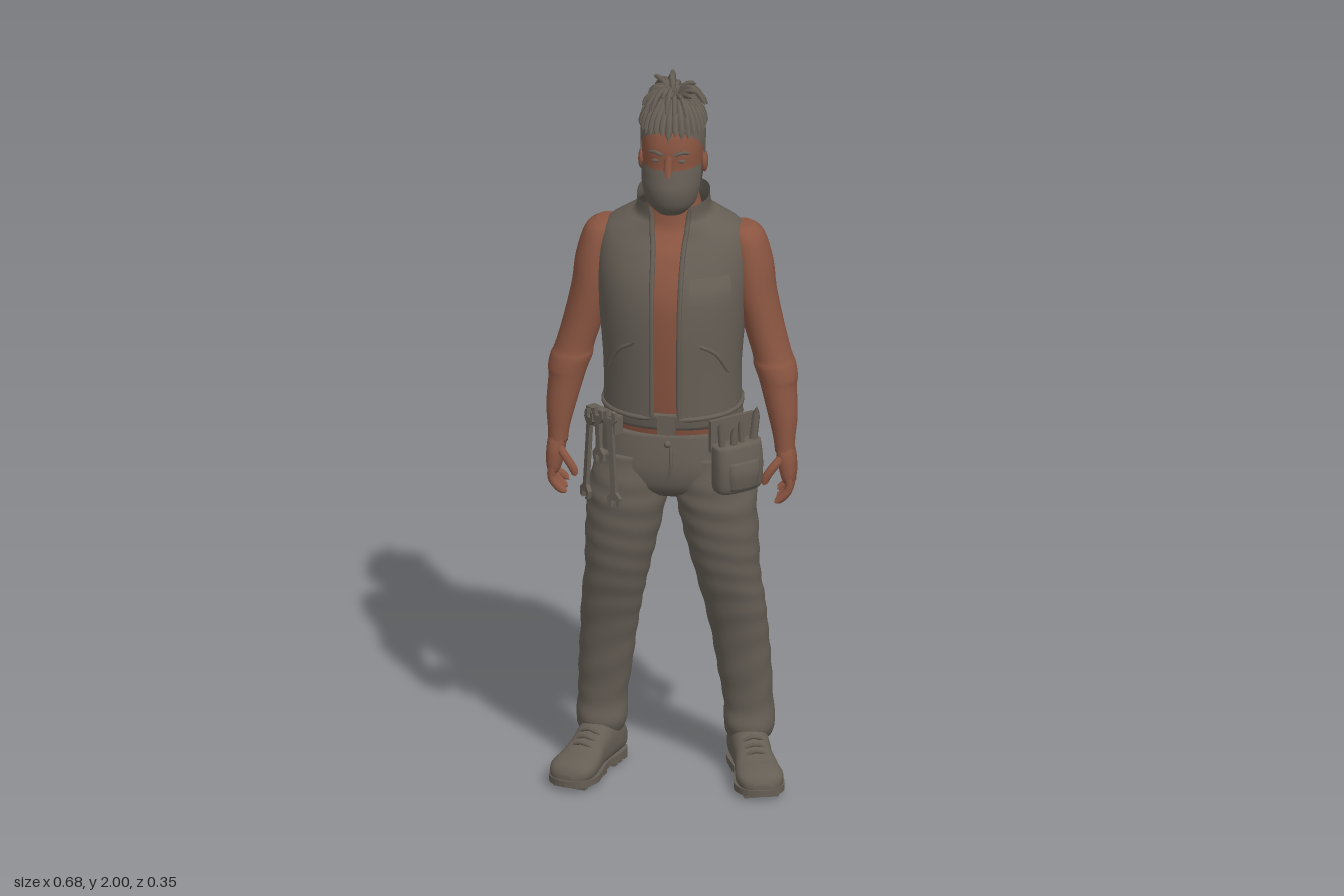
import * as THREE from 'three';

const TAU = Math.PI * 2;
const mat = (name, color) => Object.assign(new THREE.MeshStandardMaterial({ color }), { name });
const V = (x, y, z) => new THREE.Vector3(x, y, z);

// Surface through horizontal sections [y, centre x, z front, z back, half width, front opening angle].
function loft(sections, o = {}) {
  const { n = 28, nf = 2, nb = 2, range, tilt = 0, fold = 0, steps = 4 } = o;
  const open = range || sections[0].length > 5;
  const S = [...sections].sort((a, b) => a[0] - b[0]);
  const cols = open ? n + 1 : n, pos = [], idx = [];
  const rows = (S.length - 1) * steps + 1;
  const at = (t) => {
    const i = Math.min(Math.floor(t), S.length - 2), f = t - i;
    const p = [S[Math.max(i - 1, 0)], S[i], S[i + 1], S[Math.min(i + 2, S.length - 1)]];
    return S[0].map((_, k) => {
      const [a, b, c, d] = p.map((q) => q[k]);
      return b + 0.5 * f * (c - a + f * (2 * a - 5 * b + 4 * c - d + f * (3 * (b - c) + d - a)));
    });
  };
  for (let j = 0; j < rows; j++) {
    const [y, cx, zf, zb, rx, g = 0] = at(j / steps);
    const [a0, a1] = range || [g, TAU - g];
    const cz = (zf + zb) / 2, rz = (zf - zb) / 2;
    for (let i = 0; i < cols; i++) {
      const a = a0 + ((a1 - a0) * i) / n, s = Math.sin(a), c = Math.cos(a);
      const e = 2 / (c > 0 ? nf : nb), w = 1 + fold * Math.sin(y * 85 + 2.5 * Math.sin(a + y * 9));
      const z = Math.sign(c) * Math.abs(c) ** e * rz * w;
      pos.push(cx + Math.sign(s) * Math.abs(s) ** e * rx * w, y - tilt * z * (j / (rows - 1)) ** 4, cz + z);
    }
  }
  const w = (j, i) => j * cols + (i % cols);
  for (let j = 0; j < rows - 1; j++)
    for (let i = 0; i < n; i++)
      idx.push(w(j, i), w(j, i + 1), w(j + 1, i), w(j, i + 1), w(j + 1, i + 1), w(j + 1, i));
  if (!open)
    for (const j of [0, rows - 1]) {
      const q = at(j / steps), k = pos.length / 3;
      pos.push(q[1], q[0], (q[2] + q[3]) / 2);
      for (let i = 0; i < n; i++) j ? idx.push(w(j, i), w(j, i + 1), k) : idx.push(w(j, i + 1), w(j, i), k);
    }
  const geo = new THREE.BufferGeometry();
  geo.setAttribute('position', new THREE.Float32BufferAttribute(pos, 3));
  geo.setIndex(idx);
  geo.computeVertexNormals();
  geo.userData = { cols, rows };
  return geo;
}

// Round cord with closed, tapered ends.
function cord(points, r, seg = 9, sides = 6) {
  const curve = new THREE.CatmullRomCurve3(points);
  const geo = new THREE.TubeGeometry(curve, seg, r, sides), p = geo.attributes.position;
  for (const [ring, k] of [[0, 0], [seg - 1, 0.8], [seg, 0]]) {
    const c = curve.getPointAt(ring / seg), v = V();
    for (let i = 0; i <= sides; i++) {
      const q = ring * (sides + 1) + i;
      v.fromBufferAttribute(p, q).sub(c).multiplyScalar(k).add(c);
      p.setXYZ(q, v.x, v.y, v.z);
    }
  }
  return geo;
}

export function createModel() {
  const root = new THREE.Group();
  const cloth = mat('warm grey cloth', 0x655e55), skin = mat('brown skin', 0x8a5541);
  cloth.side = THREE.DoubleSide;
  const add = (name, geo, m, parent = root) => {
    const mesh = new THREE.Mesh(geo, m);
    mesh.name = name;
    parent.add(mesh);
    return mesh;
  };
  let seed = 7;
  const rnd = () => (seed = (seed * 16807) % 2147483647) / 2147483647;

  // Torso and neck
  add('torso', loft([[0.98, 0, 0.09, -0.14, 0.175], [1.05, 0, 0.11, -0.15, 0.178], [1.15, 0, 0.125, -0.14, 0.17],
    [1.3, 0, 0.138, -0.148, 0.18], [1.42, 0, 0.136, -0.15, 0.185], [1.52, 0, 0.098, -0.14, 0.18],
    [1.57, 0, 0.06, -0.125, 0.15], [1.61, 0, 0.04, -0.1, 0.085], [1.72, 0, 0.03, -0.085, 0.06]], { nf: 2, nb: 2.6 }), skin);

  // Open vest with standing collar
  const vestRows = [[1.085, 0, 0.155, -0.155, 0.186, 0.2], [1.2, 0, 0.157, -0.155, 0.186, 0.2],
    [1.35, 0, 0.157, -0.166, 0.198, 0.19], [1.45, 0, 0.142, -0.17, 0.205, 0.19], [1.53, 0, 0.108, -0.162, 0.203, 0.2],
    [1.58, 0, 0.08, -0.146, 0.185, 0.24], [1.613, 0, 0.07, -0.125, 0.135, 0.36], [1.635, 0, 0.066, -0.112, 0.102, 0.5],
    [1.68, 0, 0.068, -0.1, 0.098, 0.6]];
  const vestGeo = loft(vestRows, { n: 48, nf: 2, nb: 2.8, tilt: 0.2 });
  add('vest', vestGeo, cloth);
  const { cols, rows } = vestGeo.userData;
  const vestPoint = (j, i) => V().fromBufferAttribute(vestGeo.attributes.position, j * cols + i);
  for (const i of [0, cols - 1])
    add('vestPlacket', cord(Array.from({ length: rows }, (_, j) => vestPoint(j, i)), 0.007, 40), cloth);
  add('vestHem', cord(Array.from({ length: cols }, (_, i) => vestPoint(0, i)), 0.007, 60), cloth);
  add('chestPocketFlap', loft([[1.42, 0, 0.162, -0.17, 0.212], [1.45, 0, 0.153, -0.17, 0.214],
    [1.485, 0, 0.133, -0.17, 0.207]], { n: 10, range: [0.3, 0.92] }), cloth);
  for (const s of [-1, 1]) {
    const line = [[0.085, 1.3], [0.13, 1.27], [0.165, 1.2]].map(([x, y]) =>
      V(s * x, y, 0.158 * Math.sqrt(1 - (x / 0.192) ** 2)));
    add('pocketWelt', cord(line, 0.006), cloth);
  }

  // Trousers
  add('trouserSeat', loft([[0.83, 0, 0.07, -0.08, 0.09], [0.86, 0, 0.1, -0.125, 0.17], [0.91, 0, 0.112, -0.145, 0.198],
    [0.96, 0, 0.11, -0.152, 0.196], [1.02, 0, 0.102, -0.148, 0.186]], { nf: 2.4, nb: 2.6 }), cloth);
  add('fly', cord([V(0.008, 1.0, 0.103), V(0.01, 0.94, 0.112), V(0, 0.88, 0.104)], 0.005), cloth);
  add('waistButton', new THREE.SphereGeometry(0.01, 10, 8).translate(0, 0.995, 0.106), cloth);

  for (const s of [-1, 1]) {
    const side = new THREE.Group();
    side.name = s > 0 ? 'leftLimbs' : 'rightLimbs';
    root.add(side);
    const limb = (list) => list.map(([y, cx, ...r]) => [y, s * cx, ...r]);

    add('trouserLeg', loft(limb([[0.95, 0.1, 0.1, -0.13, 0.09], [0.86, 0.114, 0.114, -0.122, 0.11], [0.8, 0.122, 0.115, -0.095, 0.107],
      [0.7, 0.136, 0.105, -0.088, 0.099], [0.6, 0.149, 0.086, -0.09, 0.088], [0.5, 0.166, 0.058, -0.1, 0.083],
      [0.4, 0.178, 0.032, -0.118, 0.077], [0.3, 0.188, 0.015, -0.13, 0.073], [0.2, 0.197, 0, -0.135, 0.067],
      [0.13, 0.2, 0.006, -0.145, 0.069], [0.1, 0.2, -0.005, -0.135, 0.06]]), { nf: 2.2, nb: 2.2, fold: 0.018, steps: 6 }), cloth);

    // Boot turned outwards, with lugged sole
    const boot = new THREE.Group();
    boot.name = 'boot';
    boot.position.set(s * 0.222, 0, 0.024);
    boot.rotation.y = s * 0.31;
    side.add(boot);
    const upper = [[-0.155, 0.025, 0.07], [-0.145, 0.045, 0.11], [-0.1, 0.052, 0.14], [-0.04, 0.052, 0.14], [0.01, 0.052, 0.115],
      [0.06, 0.06, 0.09], [0.105, 0.064, 0.08], [0.14, 0.05, 0.066], [0.155, 0.02, 0.045]];
    add('bootUpper', loft(upper.map(([z, w, h]) => [z, 0, -0.02, -h, w]), { nf: 3, nb: 2.3 }).rotateX(Math.PI / 2), cloth, boot);
    const outline = [[0, -0.16], [0.045, -0.145], [0.053, -0.09], [0.048, -0.02], [0.062, 0.05], [0.068, 0.1], [0.048, 0.145], [0, 0.162]];
    const right = outline.map(([x, z]) => new THREE.Vector2(x, -z));
    const left = outline.slice(1, -1).reverse().map(([x, z]) => new THREE.Vector2(-x, -z));
    const sole = new THREE.Shape(new THREE.SplineCurve([...right, ...left, right[0]]).getPoints(48));
    add('sole', new THREE.ExtrudeGeometry(sole, { depth: 0.018, bevelEnabled: false }).rotateX(-Math.PI / 2).translate(0, 0.014, 0), cloth, boot);
    for (const z of [-0.13, -0.1, -0.07, 0, 0.03, 0.06, 0.09, 0.12])
      for (const x of [-0.026, 0.026])
        add('soleLug', new THREE.BoxGeometry(0.042, 0.016, 0.019).translate(x, 0.008, z), cloth, boot);
    for (const [z, y] of [[-0.0, 0.125], [0.022, 0.112], [0.044, 0.101]])
      add('lace', cord([V(-0.032, y - 0.012, z), V(0, y, z + 0.004), V(0.032, y - 0.012, z)], 0.005), cloth, boot);

    // Bare arm
    add('arm', loft(limb([[1.585, 0.185, -0.02, -0.09, 0.025], [1.56, 0.195, 0.012, -0.112, 0.048], [1.48, 0.211, 0.03, -0.12, 0.057],
      [1.4, 0.222, 0.036, -0.115, 0.056], [1.3, 0.246, 0.036, -0.1, 0.054], [1.225, 0.268, 0.04, -0.085, 0.053],
      [1.2, 0.275, 0.047, -0.083, 0.057], [1.165, 0.285, 0.05, -0.072, 0.054], [1.14, 0.288, 0.05, -0.063, 0.049],
      [1.06, 0.301, 0.053, -0.035, 0.04], [1.0, 0.306, 0.052, -0.015, 0.03], [0.96, 0.308, 0.052, -0.012, 0.027]]), { n: 20 }), skin, side);
    add('palm', loft(limb([[0.98, 0.307, 0.048, -0.01, 0.025], [0.94, 0.313, 0.058, -0.022, 0.026], [0.89, 0.318, 0.058, -0.03, 0.021],
      [0.872, 0.318, 0.05, -0.022, 0.014]]), { n: 16, nf: 2.5, nb: 2.5 }), skin, side);
    for (let k = 0; k < 4; k++) {
      const z = 0.047 - k * 0.022, drop = [0.005, 0, 0.004, 0.018][k];
      add('finger', cord([V(s * 0.318, 0.9, z), V(s * 0.322, 0.86, z), V(s * 0.307, 0.832 + drop, z + 0.002),
        V(s * 0.282, 0.812 + drop, z + 0.003)], 0.0115, 10, 8), skin, side);
    }
    add('thumb', cord([V(s * 0.305, 0.95, 0.04), V(s * 0.28, 0.922, 0.058), V(s * 0.262, 0.895, 0.062), V(s * 0.255, 0.87, 0.058)], 0.012, 10, 8), skin, side);

    // Ear, eye and brow
    add('ear', new THREE.SphereGeometry(1, 12, 10).scale(0.01, 0.03, 0.02).translate(s * 0.085, 1.775, -0.015), skin, side);
    add('eye', new THREE.SphereGeometry(1, 10, 8).scale(0.013, 0.005, 0.004).translate(s * 0.034, 1.808, 0.081), cloth, side);
    add('eyebrow', cord([V(s * 0.014, 1.826, 0.09), V(s * 0.035, 1.834, 0.085), V(s * 0.056, 1.828, 0.068)], 0.005), cloth, side);
  }

  // Head, nose bridge and face mask
  add('head', loft([[1.65, 0, 0.07, -0.03, 0.035], [1.68, 0, 0.092, -0.07, 0.06], [1.73, 0, 0.095, -0.095, 0.075],
    [1.78, 0, 0.086, -0.107, 0.08], [1.84, 0, 0.088, -0.11, 0.083], [1.9, 0, 0.07, -0.1, 0.077], [1.94, 0, 0.03, -0.06, 0.042]], { nf: 2.3 }), skin);
  add('noseBridge', cord([V(0, 1.83, 0.08), V(0, 1.8, 0.088), V(0, 1.76, 0.1)], 0.012), skin);
  add('faceMask', loft([[1.645, 0, 0.07, -0.04, 0.042], [1.675, 0, 0.098, -0.07, 0.068], [1.72, 0, 0.11, -0.09, 0.08],
    [1.76, 0, 0.105, -0.1, 0.083], [1.785, 0, 0.1, -0.106, 0.083]], { range: [-1.35, 1.35], nf: 2 }), cloth);
  add('maskBase', new THREE.SphereGeometry(1, 16, 10).scale(0.042, 0.012, 0.05).translate(0, 1.652, 0.02), cloth);

  // Shaved sides and scalp
  add('shavedHair', loft([[1.64, 0, 0.03, -0.092, 0.063, 1.9], [1.7, 0, 0.08, -0.095, 0.075, 1.75], [1.78, 0, 0.09, -0.113, 0.085, 1.55],
    [1.84, 0, 0.092, -0.116, 0.088, 1.2], [1.875, 0, 0.086, -0.113, 0.087, 0.7], [1.9, 0, 0.076, -0.106, 0.082, 0.01],
    [1.945, 0, 0.03, -0.066, 0.045, 0.01]]), cloth);
  add('scalp', new THREE.SphereGeometry(1, 20, 12).scale(0.07, 0.06, 0.075).translate(0, 1.9, -0.02), cloth);

  // Locks gathered up the scalp, then splaying from the crown
  for (let k = 0; k < 30; k++) {
    const a = (k / 30) * TAU, x = Math.sin(a), z = Math.cos(a), low = 1.865 + 0.015 * rnd();
    add('gatheredLock', cord([V(x * 0.088, low, -0.012 + z * 0.1), V(x * 0.077, 1.915, -0.018 + z * 0.083),
      V(x * 0.045, 1.948, -0.03 + z * 0.05), V(x * 0.008, 1.955, -0.04)], 0.0095), cloth);
  }
  for (let k = 0; k < 40; k++) {
    const a = k * 2.4, r = 0.055 + 0.055 * rnd(), up = 1.955 + 0.03 * rnd();
    const x = Math.sin(a), z = Math.cos(a), end = k % 4 ? up - 0.75 * (r - 0.03) : up + 0.008;
    add('looseLock', cord([V(x * 0.008, 1.935, -0.04 + z * 0.008), V(x * r * 0.45, up, -0.04 + z * r * 0.45),
      V(x * r * 0.8, (up + end) / 2 + 0.006, -0.04 + z * r * 0.8), V(x * r, end, -0.04 + z * r)], 0.0075), cloth);
  }
  add('backLock', cord([V(0.02, 1.95, -0.05), V(0.025, 1.95, -0.11), V(0.028, 1.9, -0.145), V(0.03, 1.84, -0.17)], 0.008), cloth);
  add('topLock', cord([V(0, 1.94, -0.04), V(-0.005, 1.975, -0.045), V(-0.01, 1.992, -0.07), V(-0.012, 1.99, -0.095)], 0.009), cloth);

  // Tool belt
  add('toolBelt', loft([[1.042, 0, 0.122, -0.156, 0.188], [1.088, 0, 0.13, -0.153, 0.184]], { nf: 2, nb: 2.6, n: 40 }), cloth);
  add('beltBuckle', new THREE.BoxGeometry(0.05, 0.055, 0.014).translate(0, 1.062, 0.13), cloth);

  // Pouch with tools at the left hip
  const pouch = new THREE.Group();
  pouch.name = 'toolPouch';
  pouch.position.set(0.186, 0, 0.096);
  pouch.rotation.y = 0.7;
  root.add(pouch);
  add('pouchBag', loft([[0.87, 0, 0.025, -0.02, 0.055], [0.885, 0, 0.04, -0.03, 0.07], [0.95, 0, 0.045, -0.03, 0.073],
    [1.01, 0, 0.036, -0.03, 0.07]], { nf: 2.8, nb: 4 }), cloth, pouch);
  add('pouchBack', new THREE.BoxGeometry(0.14, 0.09, 0.012).translate(0, 1.03, -0.025), cloth, pouch);
  add('pouchFrontPocket', loft([[0.885, 0, 0.048, 0, 0.045], [0.93, 0, 0.056, 0, 0.05], [0.965, 0, 0.05, 0, 0.05]], { nf: 3, nb: 3 }), cloth, pouch);
  for (const [x, z, top, r, lean] of [[-0.05, 0.01, 1.08, 0.009, -0.01], [-0.02, 0.015, 1.06, 0.011, 0.005], [0.012, 0.01, 1.075, 0.008, -0.006], [0.045, 0.005, 1.1, 0.011, 0.018]])
    add('toolHandle', cord([V(x, 0.97, z), V(x + lean / 2, 1.03, z), V(x + lean, top, z)], r, 8, 8), cloth, pouch);

  // Wrenches and holder at the right hip
  const jaw = (y, d) => [[-0.008, y - d * 0.03], [-0.021, y - d * 0.014], [-0.019, y + d * 0.008], [-0.008, y + d * 0.012],
    [-0.008, y - d * 0.008], [0.008, y - d * 0.008], [0.008, y + d * 0.012], [0.019, y + d * 0.008], [0.021, y - d * 0.014], [0.008, y - d * 0.03]];
  const wrench = (len) => new THREE.ExtrudeGeometry(new THREE.Shape([...jaw(len / 2, 1), ...jaw(-len / 2, -1).reverse()]
    .map(([x, y]) => new THREE.Vector2(x, y))), { depth: 0.012, bevelEnabled: false });
  for (const [x, y, z, ry, rz, len] of [[-0.142, 0.96, 0.137, -0.5, 0.06, 0.25], [-0.213, 0.95, 0.085, -0.9, -0.1, 0.24], [-0.18, 1.02, 0.118, -0.7, 0.03, 0.13]]) {
    const tool = add('wrench', wrench(len), cloth);
    tool.position.set(x, y, z);
    tool.rotation.set(0, ry, rz);
  }
  const holder = add('toolHolder', new THREE.BoxGeometry(0.12, 0.05, 0.03), cloth);
  holder.position.set(-0.172, 1.055, 0.095);
  holder.rotation.y = -0.75;

  return root;
}
